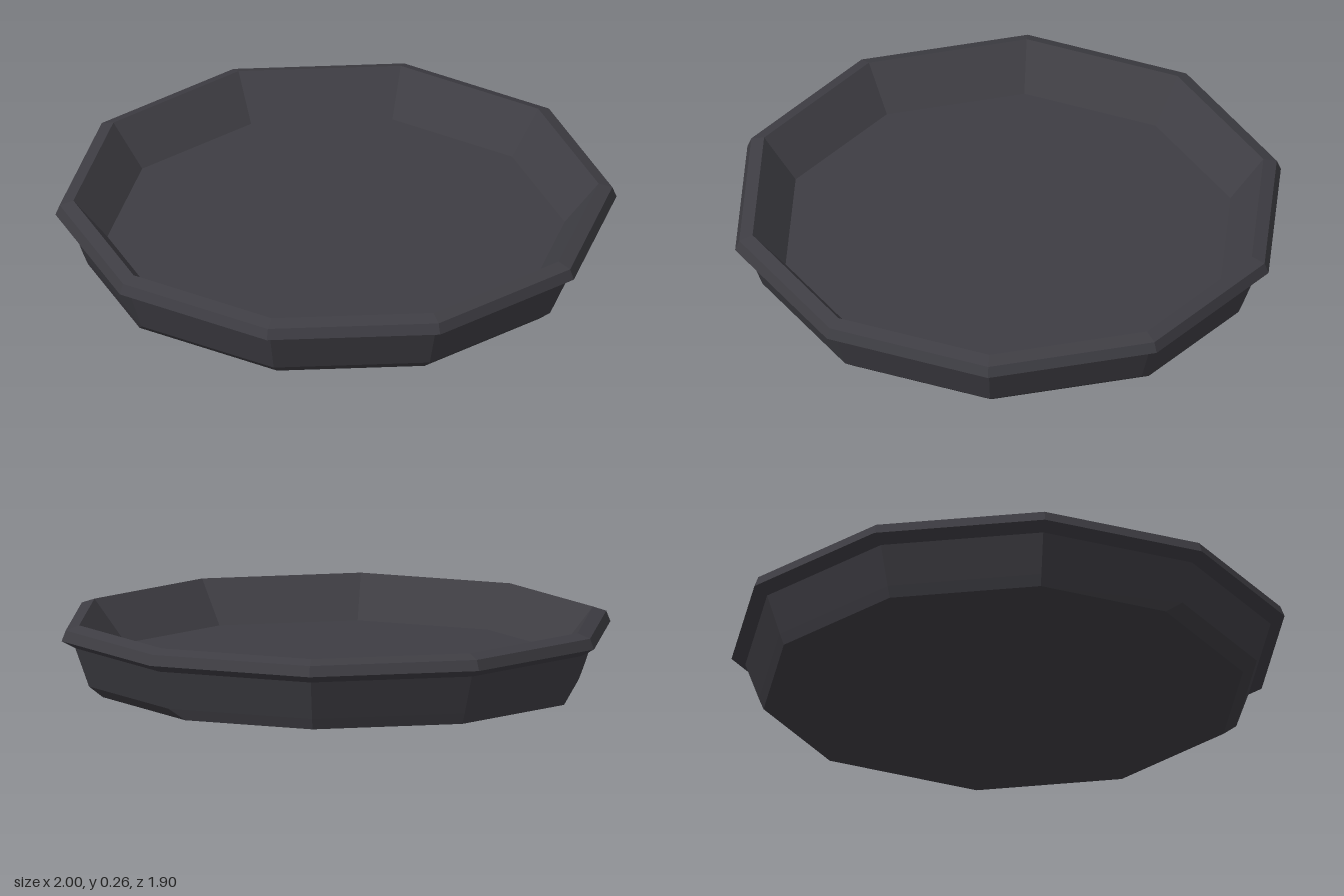
import * as THREE from 'three';

const SIDES = 10;

// Split the faces so each one gets its own flat normal
function faceted(geometry) {
  const flat = geometry.index ? geometry.toNonIndexed() : geometry;
  flat.computeVertexNormals();
  return flat;
}

export function createModel() {
  const group = new THREE.Group();
  group.name = 'dish';
  const charcoal = new THREE.MeshStandardMaterial({ color: 0x3e3d43 });
  charcoal.name = 'charcoal';

  // Ten-sided body: outer wall, overhanging rim, inner wall and floor
  const profile = [
    [0.9, 0.04], [0.95, 0.18], [1, 0.207], [0.985, 0.245],
    [0.936, 0.262], [0.815, 0.11], [0, 0.11],
  ].map(([r, y]) => new THREE.Vector2(r, y));
  const body = new THREE.Mesh(
    faceted(new THREE.LatheGeometry(profile, SIDES, Math.PI / 2)), charcoal);
  body.name = 'bodyAndRim';
  group.add(body);

  // Foot: bevelled along the front half, straight along the back half
  const top = [], bottom = [];
  for (let k = 0; k < SIDES; k++) {
    const a = (k / SIDES) * Math.PI * 2;
    const ring = (r, y) => new THREE.Vector3(r * Math.cos(a), y, r * Math.sin(a));
    top.push(ring(0.9, 0.04));
    if (k % 5 === 0) bottom.push(new THREE.Vector3(k ? -0.867 : 0.867, 0, -0.05));
    else bottom.push(ring(k < 5 ? 0.85 : 0.884, 0));
  }
  const centre = new THREE.Vector3();
  const corners = [];
  for (let k = 0; k < SIDES; k++) {
    const n = (k + 1) % SIDES;
    corners.push(bottom[k], top[k], bottom[n], top[k], top[n], bottom[n]);
    corners.push(centre, bottom[k], bottom[n]);
  }
  const foot = new THREE.Mesh(
    faceted(new THREE.BufferGeometry().setFromPoints(corners)), charcoal);
  foot.name = 'footAndUnderside';
  group.add(foot);

  return group;
}
